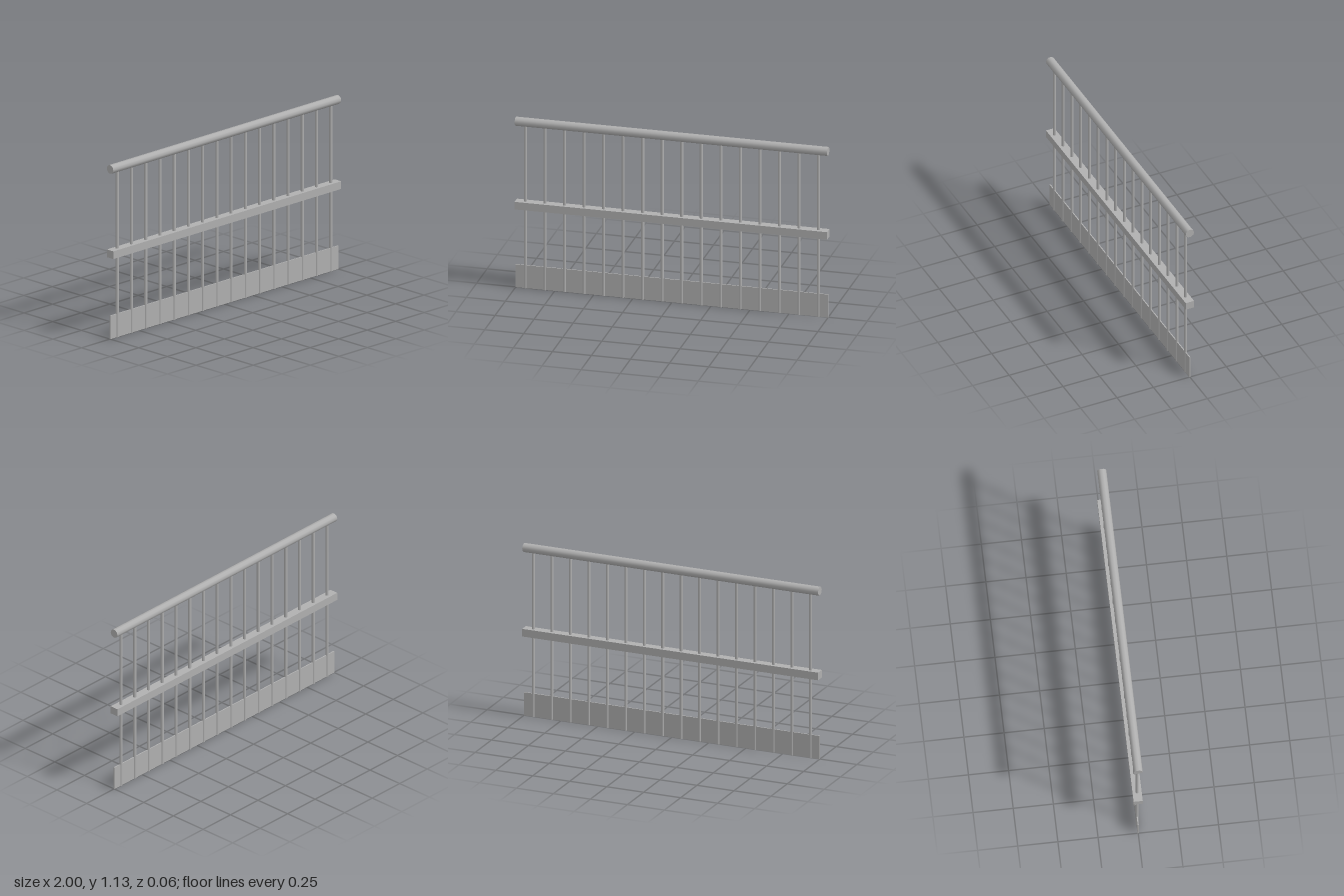
import * as THREE from 'three';

export function createModel() {
  const group = new THREE.Group();
  const steel = new THREE.MeshStandardMaterial({ color: 0xb0b0b0 });
  steel.name = 'grey steel';

  const add = (name, geometry, x, y) => {
    const mesh = new THREE.Mesh(geometry, steel);
    mesh.name = name;
    mesh.position.set(x, y, 0);
    group.add(mesh);
    return mesh;
  };

  // Round handrail along the top
  const railGeometry = new THREE.CylinderGeometry(0.0285, 0.0285, 2, 10);
  railGeometry.rotateZ(Math.PI / 2);
  add('handrail', railGeometry, 0, 1.102);

  // Square middle rail and thin toe board
  add('middleRail', new THREE.BoxGeometry(2, 0.05, 0.057), 0, 0.551);
  add('toeBoard', new THREE.BoxGeometry(2, 0.152, 0.007), 0, 0.076);

  // Evenly spaced round balusters
  const count = 16;
  const spacing = 2 / count;
  const balusterGeometry = new THREE.CylinderGeometry(0.01, 0.01, 1.1, 8);
  for (let i = 0; i < count; i++) {
    add(`baluster${i + 1}`, balusterGeometry, -1 + spacing * (i + 0.5), 0.55);
  }

  return group;
}
